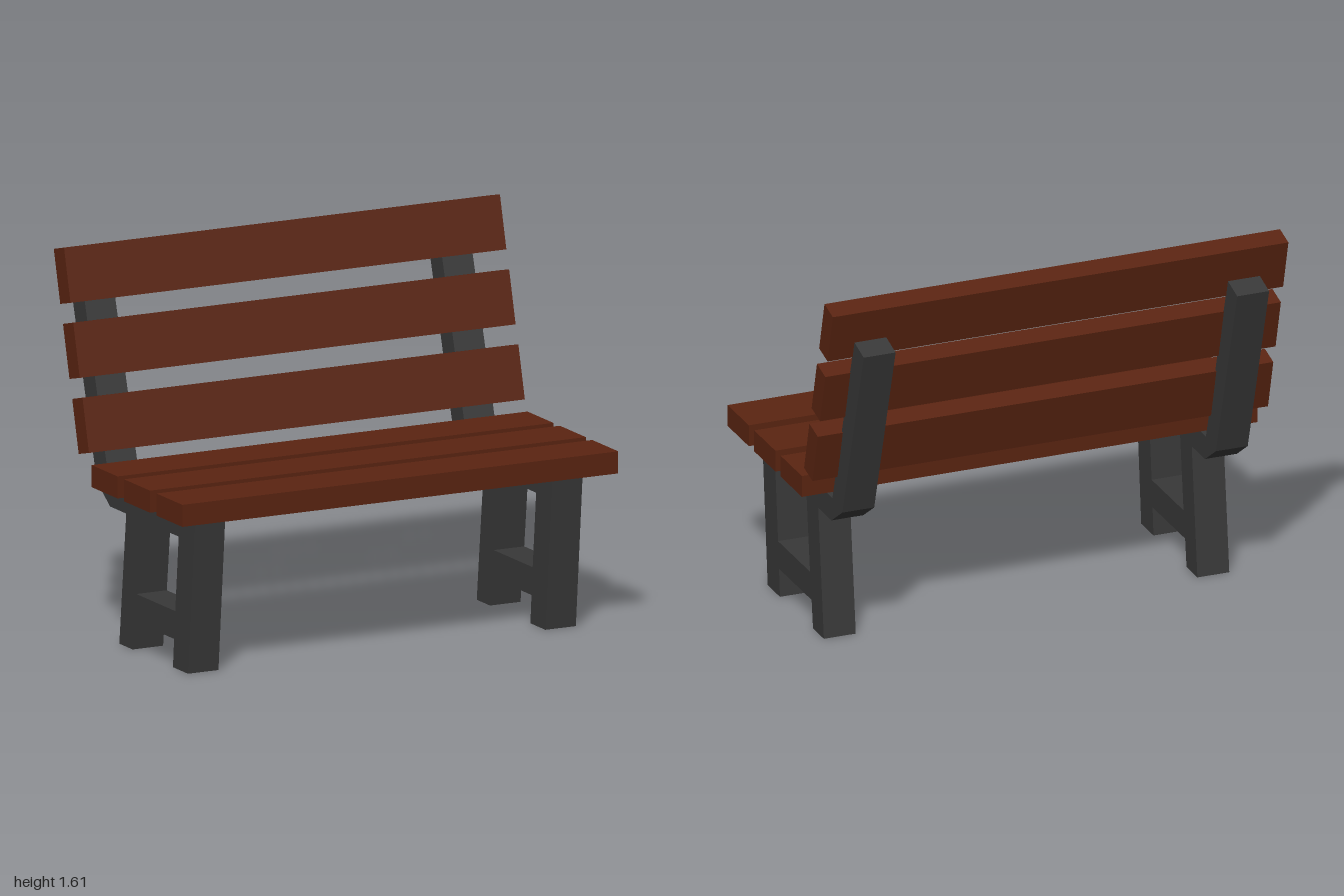
import * as THREE from 'three';

const WOOD = new THREE.MeshStandardMaterial({ color: 0x5a2411 });
const METAL = new THREE.MeshStandardMaterial({ color: 0x383838 });
const PLANK_WIDTH = 0.225, PLANK_THICKNESS = 0.092;
const FRAME_WIDTH = 0.14, FRAME_X = 0.82;

const points = (list) => list.map(([z, y]) => new THREE.Vector2(z, y));

// Side frame: legs, crossbar, seat rail and back post in one profile (z, y)
function frameGeometry() {
  const shape = new THREE.Shape(points([
    [0.43, 0], [0.49, 0.658], [-0.255, 0.658], [-0.487, 1.438], [-0.587, 1.41],
    [-0.36, 0.635], [-0.245, 0.555], [-0.105, 0.555], [-0.165, 0], [-0.05, 0],
    [-0.035, 0.12], [0.31, 0.12], [0.30, 0],
  ]));
  // Opening between the legs, above the crossbar
  shape.holes.push(new THREE.Path(points([
    [0.35, 0.555], [0.32, 0.238], [-0.018, 0.238], [0.018, 0.555],
  ])));
  const geometry = new THREE.ExtrudeGeometry(shape, { depth: FRAME_WIDTH, bevelEnabled: false });
  geometry.translate(0, 0, -FRAME_WIDTH / 2);
  return geometry.rotateY(-Math.PI / 2); // profile x becomes model z
}

function plank(name, y, z, tilt, width, thickness) {
  const mesh = new THREE.Mesh(new THREE.BoxGeometry(2, width, thickness), WOOD);
  mesh.name = name;
  mesh.position.set(0, y, z);
  mesh.rotation.x = tilt;
  return mesh;
}

export function createModel() {
  const bench = new THREE.Group();
  bench.name = 'bench';

  // Two matching side frames
  const geometry = frameGeometry();
  for (const [name, side] of [['leftFrame', 1], ['rightFrame', -1]]) {
    const frame = new THREE.Mesh(geometry, METAL);
    frame.name = name;
    frame.position.x = side * FRAME_X;
    bench.add(frame);
  }

  // Seat planks lie flat, back planks lean with the posts
  for (let i = 0; i < 3; i++) {
    bench.add(plank(`seatPlank${i + 1}`, 0.704, 0.477 - i * 0.281, -Math.PI / 2, PLANK_WIDTH, PLANK_THICKNESS));
    bench.add(plank(`backPlank${i + 1}`, 0.893 + i * 0.296, -0.293 - i * 0.08,
      -THREE.MathUtils.degToRad(14.5), PLANK_WIDTH, PLANK_THICKNESS));
  }
  return bench;
}
